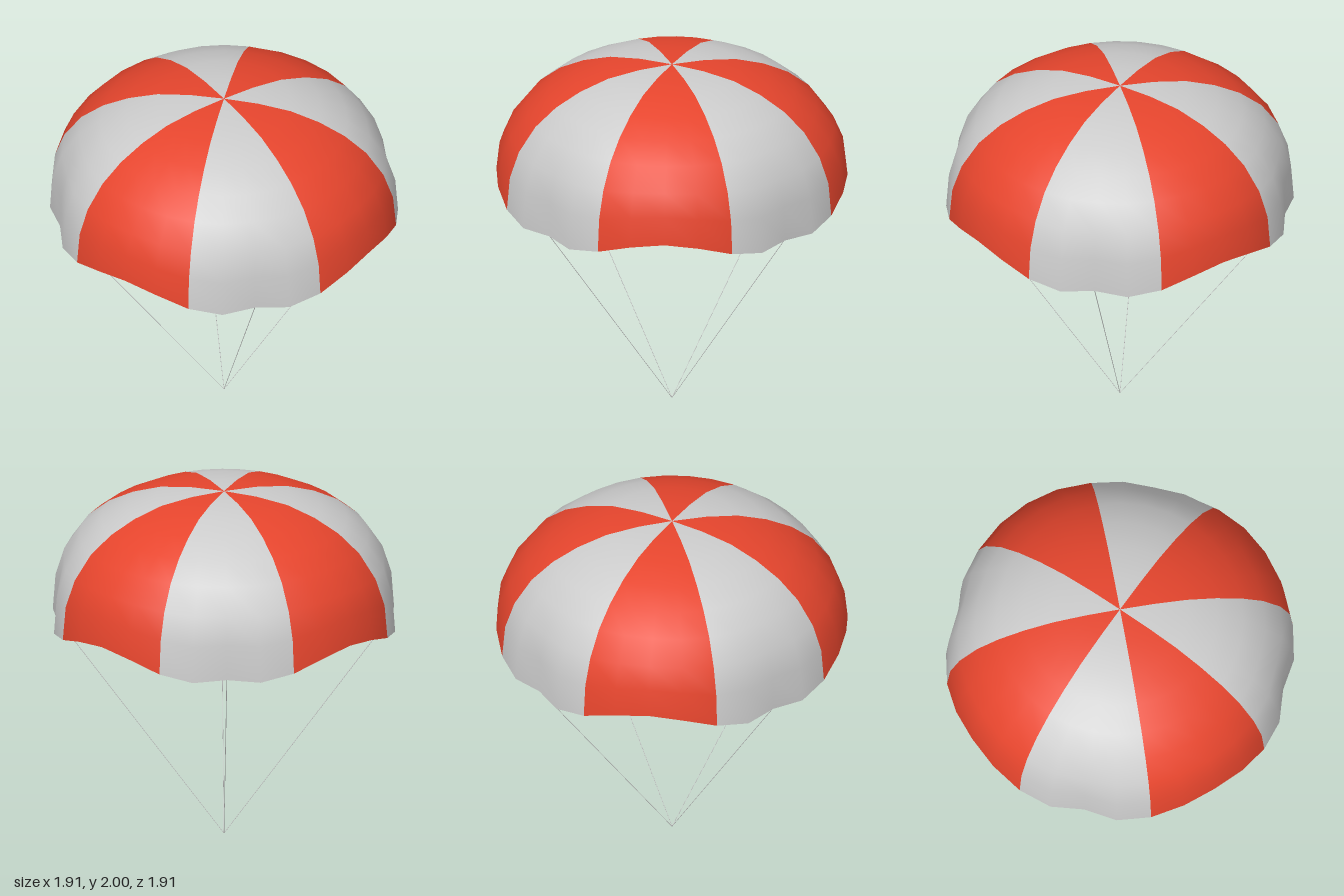
import * as THREE from 'three';

const SEGMENTS = 32;
// canopy meridian from crown to hem: radius, height
const PROFILE = [
  [0.19, 1.995], [0.37, 1.972], [0.53, 1.92], [0.67, 1.848],
  [0.79, 1.755], [0.885, 1.635], [0.938, 1.515], [0.955, 1.36],
];
// hem shape from the middle of a high panel (0) to a line anchor (4)
const HEM_DROP = [0, 0.025, 0.08, 0.114, 0.105];
const HEM_RADIUS = [1, 1.002, 1, 0.99, 0.95];
// how strongly each ring follows the hem shape
const DROP_WEIGHT = [0, 0, 0, 0, 0.06, 0.25, 0.58, 1];
const PULL_WEIGHT = [0, 0, 0, 0, 0.15, 0.4, 0.8, 1];
const THICKNESS = 0.008;

const red = new THREE.MeshStandardMaterial({ color: 0xe6452d });
const grey = new THREE.MeshStandardMaterial({ color: 0xcccccc });

const vertexId = (ring, seg) =>
  ring === 0 ? 0 : 1 + (ring - 1) * SEGMENTS + ((seg + SEGMENTS) % SEGMENTS);

function addMesh(parent, name, geometry, material) {
  const mesh = new THREE.Mesh(geometry, material);
  mesh.name = name;
  parent.add(mesh);
  return mesh;
}

// triangles of the canopy between two segments
function shellIndex(from, to) {
  const index = [];
  for (let j = from; j < to; j++) {
    index.push(0, vertexId(1, j), vertexId(1, j + 1));
    for (let k = 1; k < PROFILE.length; k++) {
      const a = vertexId(k, j), b = vertexId(k + 1, j);
      const c = vertexId(k + 1, j + 1), d = vertexId(k, j + 1);
      index.push(a, b, c, a, c, d);
    }
  }
  return index;
}

function outerShell() {
  const positions = [0, 2, 0];
  PROFILE.forEach(([r, y], k) => {
    for (let j = 0; j < SEGMENTS; j++) {
      const m = j % 8;
      const fold = m > 4 ? 8 - m : m;
      const angle = (j / SEGMENTS) * Math.PI * 2;
      const radius = r * (1 + (HEM_RADIUS[fold] - 1) * PULL_WEIGHT[k]);
      positions.push(
        Math.sin(angle) * radius,
        y - HEM_DROP[fold] * DROP_WEIGHT[k],
        Math.cos(angle) * radius,
      );
    }
  });
  const geometry = new THREE.BufferGeometry();
  geometry.setAttribute('position', new THREE.Float32BufferAttribute(positions, 3));
  geometry.setIndex(shellIndex(0, SEGMENTS));
  geometry.computeVertexNormals();
  return geometry;
}

// one stripe keeps the smooth normals of the whole canopy
function panelGeometry(shell, from, to) {
  const panel = shell.clone();
  panel.setIndex(shellIndex(from, to));
  return panel.toNonIndexed();
}

// lining: the shell moved inwards and turned inside out
function liningGeometry(shell) {
  const lining = shell.clone();
  const p = lining.attributes.position, n = shell.attributes.normal;
  for (let i = 0; i < p.count; i++) {
    p.setXYZ(i,
      p.getX(i) - n.getX(i) * THICKNESS,
      p.getY(i) - n.getY(i) * THICKNESS,
      p.getZ(i) - n.getZ(i) * THICKNESS);
  }
  lining.setIndex(shellIndex(0, SEGMENTS).reverse());
  lining.computeVertexNormals();
  return lining;
}

// narrow strip closing the hem between shell and lining
function hemGeometry(shell, lining) {
  const positions = [], index = [];
  const v = new THREE.Vector3();
  for (let j = 0; j <= SEGMENTS; j++) {
    for (const side of [shell, lining]) {
      v.fromBufferAttribute(side.attributes.position, vertexId(PROFILE.length, j));
      positions.push(v.x, v.y, v.z);
    }
    if (j < SEGMENTS) {
      const a = j * 2;
      index.push(a, a + 1, a + 3, a, a + 3, a + 2);
    }
  }
  const geometry = new THREE.BufferGeometry();
  geometry.setAttribute('position', new THREE.Float32BufferAttribute(positions, 3));
  geometry.setIndex(index);
  geometry.computeVertexNormals();
  return geometry;
}

export function createModel() {
  const model = new THREE.Group();
  model.name = 'parachute';

  // canopy with eight alternating stripes
  const canopy = new THREE.Group();
  canopy.name = 'canopy';
  model.add(canopy);
  const shell = outerShell();
  for (let i = 0; i < 8; i++) {
    const isRed = i % 2 === 0;
    addMesh(canopy, isRed ? 'redPanel' : 'greyPanel',
      panelGeometry(shell, i * 4 - 2, i * 4 + 2), isRed ? red : grey);
  }
  const lining = liningGeometry(shell);
  addMesh(canopy, 'lining', lining, red);
  const hem = addMesh(canopy, 'hem', hemGeometry(shell, lining), red.clone());
  hem.material.side = THREE.DoubleSide;

  // four thin lines from the low hem points to one knot
  const lines = new THREE.Group();
  lines.name = 'suspensionLines';
  model.add(lines);
  const up = new THREE.Vector3(0, 1, 0);
  for (const sx of [1, -1]) {
    for (const sz of [1, -1]) {
      const anchor = new THREE.Vector3(sx * 0.639, 1.257, sz * 0.639);
      const line = addMesh(lines, 'suspensionLine',
        new THREE.CylinderGeometry(0.002, 0.0015, anchor.length(), 6), grey);
      line.position.copy(anchor).multiplyScalar(0.5);
      line.quaternion.setFromUnitVectors(up, anchor.clone().normalize());
    }
  }
  return model;
}
